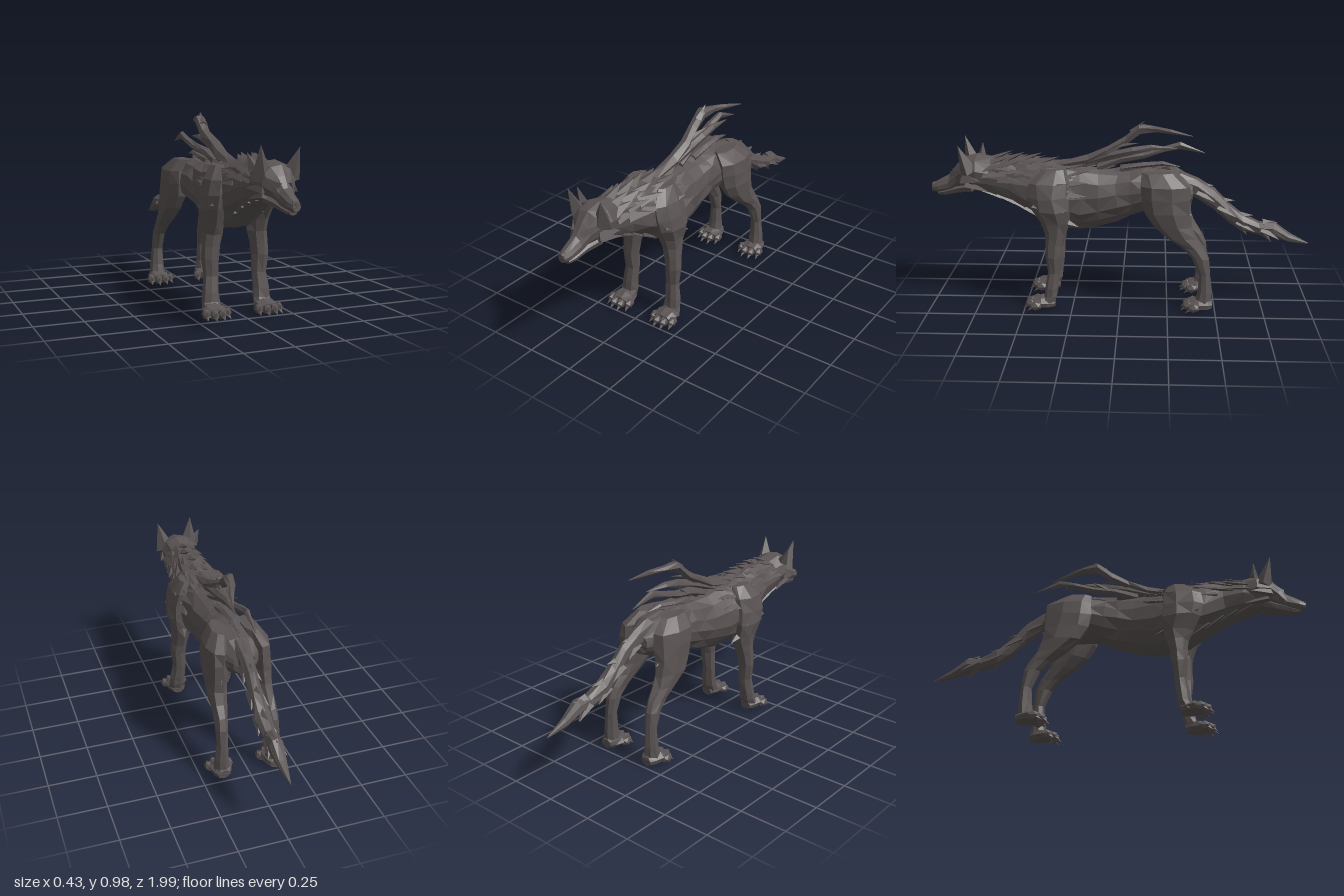
import * as THREE from 'three';

const fur = new THREE.MeshStandardMaterial({ color: 0x5a5353, flatShading: true });
fur.name = 'charcoal fur';

// Small seeded noise for a chiselled surface
let seed = 7;
const rnd = () => (seed = (seed * 16807) % 2147483647) / 2147483647;
const V = (p) => new THREE.Vector3(...p);

function add(parent, name, geometry) {
  const mesh = new THREE.Mesh(geometry, fur);
  mesh.name = name;
  parent.add(mesh);
}

// Closed loft through elliptical rings [x, y, z, rx, r2].
// axis 'z': upright rings, listed front to back; axis 'y': level rings, listed top to bottom
function loft(rings, axis = 'z', sides = 9, rough = 0.08) {
  const pos = [], index = [];
  for (const [x, y, z, rx, r2] of rings) {
    for (let j = 0; j < sides; j++) {
      const a = ((j + 0.25) / sides) * Math.PI * 2 + (rnd() - 0.5) * rough * 2;
      const k = 1.02 + (rnd() - 0.5) * 2 * rough;
      const u = Math.cos(a) * rx * k, v = Math.sin(a) * r2 * k;
      const slip = (rnd() - 0.5) * rough * Math.min(rx, r2) * 3;
      if (axis === 'z') pos.push(x + u, y + v, z + slip);
      else pos.push(x + u, y + slip, z - v);
    }
  }
  const last = rings.length - 1;
  for (let i = 0; i < last; i++) {
    for (let j = 0; j < sides; j++) {
      const a = i * sides + j, b = i * sides + ((j + 1) % sides);
      const c = a + sides, d = b + sides;
      if ((i + j) % 2) index.push(a, c, b, b, c, d);
      else index.push(a, c, d, a, d, b);
    }
  }
  const e = last * sides;
  for (let j = 1; j < sides - 1; j++) index.push(0, j, j + 1, e, e + j + 1, e + j);
  const g = new THREE.BufferGeometry();
  g.setAttribute('position', new THREE.Float32BufferAttribute(pos, 3));
  g.setIndex(index);
  const flat = g.toNonIndexed();
  flat.computeVertexNormals();
  return flat;
}

// Flattened pointed tuft from base to tip
function tuft(base, tip, width, flat = 0.45) {
  const d = V(tip).sub(V(base)), len = d.length();
  const g = new THREE.ConeGeometry(width, len, 4, 1);
  g.translate(0, len / 2, 0);
  g.scale(1, 1, flat);
  g.applyQuaternion(new THREE.Quaternion().setFromUnitVectors(new THREE.Vector3(0, 1, 0), d.normalize()));
  return g.translate(...base);
}

// Torso stations: z, top, bottom, half width
const TORSO = [
  [0.78, 0.775, 0.615, 0.08], [0.68, 0.79, 0.59, 0.092], [0.58, 0.79, 0.555, 0.095],
  [0.48, 0.785, 0.5, 0.115], [0.38, 0.775, 0.445, 0.145], [0.28, 0.755, 0.42, 0.142],
  [0.2, 0.745, 0.415, 0.128], [0.11, 0.735, 0.43, 0.12], [0.02, 0.73, 0.455, 0.11], [-0.05, 0.735, 0.485, 0.108],
  [-0.12, 0.735, 0.505, 0.115], [-0.2, 0.735, 0.51, 0.125], [-0.3, 0.715, 0.52, 0.115], [-0.375, 0.66, 0.55, 0.06],
];

// Point on the torso at angle a from the spine, pushed outwards by 'out'
function onTorso(z, a, out = 0) {
  let i = 0;
  while (i < TORSO.length - 2 && TORSO[i + 1][0] > z) i++;
  const p = TORSO[i], q = TORSO[i + 1], t = (p[0] - z) / (p[0] - q[0]);
  const [top, bot, hw] = [1, 2, 3].map((k) => p[k] + (q[k] - p[k]) * t);
  return [Math.sin(a) * (hw + out), (top + bot) / 2 + Math.cos(a) * ((top - bot) / 2 + out), z];
}

function paw(parent, z) {
  const g = new THREE.Group();
  g.name = 'paw';
  g.position.set(0.14, 0, z);
  add(g, 'pawPad', loft([[0, 0.034, 0.065, 0.055, 0.024], [0, 0.04, 0.02, 0.06, 0.034],
    [0, 0.038, -0.025, 0.048, 0.032], [0, 0.035, -0.05, 0.032, 0.024]], 'z', 8, 0.05));
  [-0.055, -0.02, 0.02, 0.055].forEach((x, i) => {
    const front = i % 3 ? 0.072 : 0.048;
    const toe = new THREE.IcosahedronGeometry(1, 0).scale(0.022, 0.026, 0.034);
    add(g, 'toe', toe.translate(x, 0.032, front));
    add(g, 'claw', tuft([x, 0.028, front + 0.012], [x * 1.1, 0.006, front + 0.045], 0.015, 0.8));
  });
  parent.add(g);
}

export function createModel() {
  seed = 7;
  const model = new THREE.Group();
  model.name = 'wolf';

  add(model, 'torso', loft(TORSO.map(([z, t, b, w]) => [0, (t + b) / 2, z, w, (t - b) / 2]), 'z', 14, 0.06));

  // Head
  const head = new THREE.Group();
  head.name = 'head';
  model.add(head);
  add(head, 'skull', loft([[0, 0.622, 0.995, 0.02, 0.02], [0, 0.628, 0.965, 0.032, 0.032],
    [0, 0.648, 0.9, 0.038, 0.045], [0, 0.685, 0.86, 0.056, 0.06], [0, 0.712, 0.82, 0.084, 0.076],
    [0, 0.715, 0.75, 0.1, 0.09], [0, 0.695, 0.65, 0.085, 0.09]], 'z', 10, 0.03));
  add(head, 'jaw', loft([[0, 0.593, 0.965, 0.018, 0.012], [0, 0.598, 0.93, 0.027, 0.019],
    [0, 0.618, 0.86, 0.042, 0.026], [0, 0.635, 0.78, 0.068, 0.035]], 'z', 7, 0.03));
  add(head, 'nose', new THREE.IcosahedronGeometry(1, 0).scale(0.022, 0.017, 0.018).translate(0, 0.636, 0.983));
  for (const s of [-1, 1]) {
    const tip = s > 0 ? [0.1, 0.868, 0.83] : [-0.094, 0.882, 0.83];
    add(head, 'ear', tuft([s * 0.07, 0.725, 0.785], tip, 0.055, 0.85));
    add(head, 'brow', tuft([s * 0.02, 0.7, 0.878], [s * 0.1, 0.75, 0.79], 0.025, 0.8));
    add(head, 'cheekTuft', tuft([s * 0.06, 0.69, 0.81], [s * 0.118, 0.68, 0.72], 0.045, 0.7));
    add(head, 'cheekTuft', tuft([s * 0.05, 0.655, 0.8], [s * 0.09, 0.62, 0.68], 0.035, 0.8));
  }
  // Torn fur beside the right ear
  add(head, 'earTuft', tuft([-0.085, 0.77, 0.74], [-0.12, 0.842, 0.74], 0.032, 0.7));

  // Mane: rows of swept-back tufts round the neck and shoulders
  for (let row = 0; row < 6; row++) {
    const z = 0.7 - row * 0.085;
    for (let k = -3; k <= 3; k++) {
      const a = k * 0.42 + (row % 2) * 0.12;
      const lift = k === 0 ? 0.036 : 0.01 + rnd() * 0.014;
      add(model, 'maneTuft', tuft(onTorso(z, a, -0.022), onTorso(z - 0.11 - rnd() * 0.03, a, lift), 0.045, 0.5));
    }
  }
  // Throat fur
  for (let i = 0; i < 4; i++) {
    for (const s of [-1, 0, 1]) {
      const z = 0.71 - i * 0.075, a = Math.PI + s * 0.5;
      add(model, 'throatTuft', tuft(onTorso(z, a, -0.02), onTorso(z - 0.09, a, 0.01), 0.04));
    }
  }
  // Low ridge along the back
  for (let i = 0; i < 6; i++) {
    const z = 0.22 - i * 0.085;
    add(model, 'backTuft', tuft(onTorso(z, 0, -0.018), onTorso(z - 0.12, 0, 0.018), 0.038));
  }

  // Ragged streamers trailing from the back
  const streamers = [
    [[0, 0.74, 0.35, 0.03, 0.02], [0, 0.78, 0.17, 0.036, 0.028], [0.006, 0.825, 0.07, 0.03, 0.028],
      [-0.014, 0.875, -0.02, 0.028, 0.028], [-0.008, 0.94, -0.1, 0.028, 0.029], [0.005, 0.942, -0.18, 0.022, 0.016],
      [0.03, 0.934, -0.26, 0.016, 0.013], [0.06, 0.918, -0.37, 0.002, 0.002]],
    [[0, 0.75, 0.2, 0.03, 0.022], [0.012, 0.8, 0.06, 0.03, 0.024], [0.018, 0.83, -0.06, 0.024, 0.022],
      [0.016, 0.848, -0.16, 0.02, 0.016], [0.02, 0.845, -0.29, 0.002, 0.002]],
    [[0, 0.74, 0.12, 0.03, 0.022], [-0.015, 0.78, 0, 0.03, 0.02], [-0.025, 0.797, -0.12, 0.026, 0.019],
      [-0.035, 0.828, -0.22, 0.022, 0.016], [-0.035, 0.85, -0.31, 0.016, 0.02], [-0.03, 0.81, -0.44, 0.002, 0.002]],
    [[0, 0.73, 0, 0.03, 0.02], [0, 0.752, -0.12, 0.028, 0.016], [0.005, 0.762, -0.22, 0.022, 0.013],
      [0.005, 0.745, -0.31, 0.002, 0.002]],
  ];
  streamers.forEach((rings) => add(model, 'backStreamer', loft(rings, 'z', 6, 0.14)));
  add(model, 'streamerBarb', tuft([-0.008, 0.92, -0.06], [0, 0.985, -0.125], 0.028, 0.7));
  add(model, 'streamerBarb', tuft([0, 0.85, 0.03], [0.03, 0.875, -0.1], 0.022, 0.7));
  add(model, 'streamerBarb', tuft([-0.02, 0.79, -0.04], [-0.055, 0.838, -0.13], 0.022, 0.7));

  // Tail with hooked fur
  add(model, 'tail', loft([[0, 0.67, -0.31, 0.048, 0.052], [0, 0.632, -0.4, 0.037, 0.058],
    [0, 0.575, -0.49, 0.034, 0.054], [0, 0.5, -0.57, 0.036, 0.054], [0, 0.447, -0.64, 0.043, 0.047],
    [0, 0.415, -0.73, 0.033, 0.037], [0, 0.413, -0.81, 0.039, 0.043], [0, 0.365, -0.89, 0.025, 0.025],
    [0, 0.332, -0.995, 0.002, 0.003]], 'z', 8, 0.08));
  for (const [y, z] of [[0.62, -0.41], [0.54, -0.52], [0.46, -0.62], [0.42, -0.75]]) {
    for (const s of [-1, 1]) add(model, 'tailTuft', tuft([s * 0.016, y, z], [s * 0.048, y - 0.055, z - 0.085], 0.034, 0.5));
    add(model, 'tailTuft', tuft([0, y - 0.022, z], [0, y - 0.085, z - 0.05], 0.03, 0.8));
    add(model, 'tailTuft', tuft([0, y + 0.022, z], [0, y + 0.025, z - 0.08], 0.03, 0.8));
  }

  // Legs, mirrored left and right
  for (const s of [1, -1]) {
    const side = new THREE.Group();
    side.name = s > 0 ? 'leftLegs' : 'rightLegs';
    model.add(side);
    add(side, 'frontLeg', loft([[0.085, 0.745, 0.34, 0.035, 0.06], [0.112, 0.68, 0.36, 0.053, 0.105],
      [0.128, 0.61, 0.365, 0.058, 0.105], [0.132, 0.54, 0.355, 0.061, 0.1], [0.122, 0.47, 0.335, 0.056, 0.08],
      [0.122, 0.41, 0.335, 0.052, 0.056], [0.13, 0.35, 0.342, 0.046, 0.044], [0.135, 0.29, 0.345, 0.042, 0.04],
      [0.13, 0.2, 0.346, 0.038, 0.032], [0.137, 0.12, 0.356, 0.043, 0.034], [0.138, 0.075, 0.362, 0.045, 0.034],
      [0.14, 0.03, 0.385, 0.05, 0.04]], 'y', 8, 0.07));
    add(side, 'hindLeg', loft([[0.08, 0.73, -0.2, 0.038, 0.085], [0.11, 0.67, -0.235, 0.057, 0.125],
      [0.114, 0.6, -0.24, 0.06, 0.13], [0.116, 0.53, -0.248, 0.059, 0.125], [0.12, 0.46, -0.275, 0.054, 0.105],
      [0.125, 0.4, -0.322, 0.046, 0.08], [0.13, 0.345, -0.383, 0.036, 0.058], [0.135, 0.29, -0.42, 0.034, 0.045],
      [0.138, 0.2, -0.444, 0.03, 0.028], [0.14, 0.11, -0.444, 0.036, 0.036], [0.14, 0.03, -0.437, 0.046, 0.045]],
      'y', 8, 0.06));
    paw(side, 0.392);
    paw(side, -0.435);
    // Fur at the shoulder, elbow and thigh
    add(side, 'shoulderTuft', tuft([0.115, 0.67, 0.43], [0.162, 0.685, 0.27], 0.045));
    add(side, 'shoulderTuft', tuft([0.13, 0.58, 0.43], [0.182, 0.54, 0.28], 0.05));
    add(side, 'elbowTuft', tuft([0.125, 0.49, 0.32], [0.132, 0.45, 0.21], 0.045, 0.7));
    add(side, 'thighTuft', tuft([0.105, 0.57, -0.28], [0.12, 0.51, -0.38], 0.045, 0.8));
    side.scale.x = s;
  }
  return model;
}
